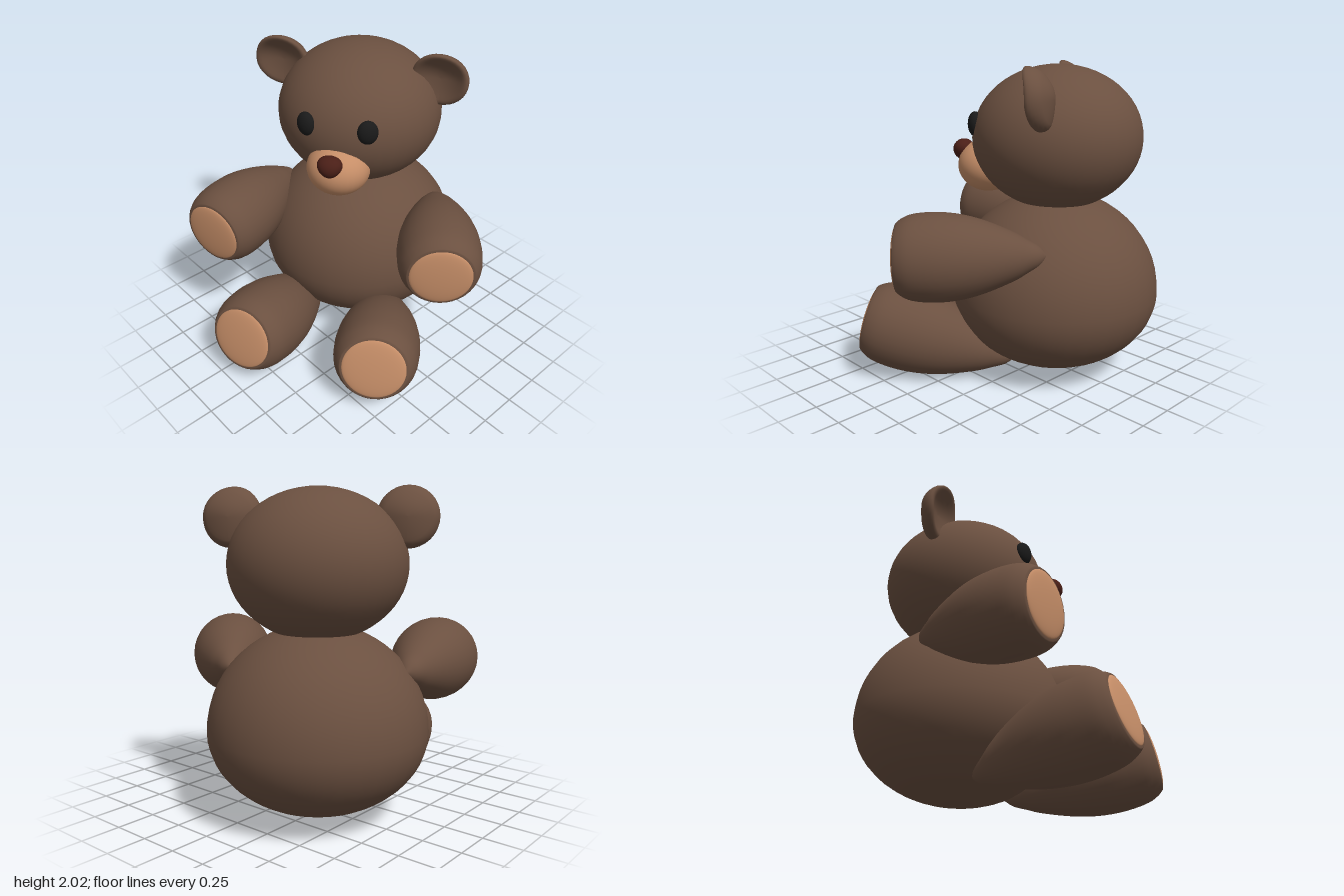
import * as THREE from 'three';

const mat = (color) => new THREE.MeshStandardMaterial({ color, roughness: 0.8 });

export function createModel() {
  const brown = mat(0x6b5040), peach = mat(0xc68e68), black = mat(0x1a1a1a), maroon = mat(0x4a1f17);
  const bear = new THREE.Group();
  bear.name = 'teddyBear';

  const add = (parent, name, geometry, material, x, y, z) => {
    const mesh = new THREE.Mesh(geometry, material);
    mesh.name = name;
    mesh.position.set(x, y, z);
    parent.add(mesh);
    return mesh;
  };
  const ellipsoid = (rx, ry, rz, w = 32, h = 24) => new THREE.SphereGeometry(1, w, h).scale(rx, ry, rz);

  // Body: round above, flatter where it sits
  const bodyProfile = [];
  for (let i = 0; i <= 28; i++) {
    const a = -Math.PI / 2 + (Math.PI * i) / 28;
    bodyProfile.push(new THREE.Vector2(Math.max(0, 0.68 * Math.cos(a)), Math.sin(a) * (a < 0 ? 0.515 : 0.65)));
  }
  add(bear, 'body', new THREE.LatheGeometry(bodyProfile, 36), brown, 0, 0.53, 0);

  // Head and face
  add(bear, 'head', ellipsoid(0.545, 0.46, 0.545, 36, 28), brown, 0, 1.535, 0);
  add(bear, 'muzzle', ellipsoid(0.205, 0.175, 0.2), peach, 0, 1.335, 0.46);
  const nose = ellipsoid(0.085, 0.07, 0.07);
  const np = nose.attributes.position;
  for (let i = 0; i < np.count; i++) np.setX(i, np.getX(i) * (0.92 + 2.5 * np.getY(i)));
  nose.computeVertexNormals();
  add(bear, 'nose', nose, maroon, 0, 1.43, 0.63);

  // Teardrop limb along +z from its root, with a flat padded end
  const limb = (name, root, end, maxRadius, side) => {
    const group = new THREE.Group();
    group.name = name;
    const from = new THREE.Vector3(...root), to = new THREE.Vector3(...end);
    from.x *= side;
    to.x *= side;
    const length = from.distanceTo(to);
    const outline = [[0, 0.02], [0.05, 0.22], [0.13, 0.38], [0.22, 0.55], [0.4, 0.8], [0.55, 0.94], [0.69, 1],
      [0.81, 0.995], [0.9, 0.95], [0.96, 0.86], [0.99, 0.78]]
      .map(([t, r]) => new THREE.Vector2(r * maxRadius, t * length));
    const points = [new THREE.Vector2(0, 0), ...new THREE.SplineCurve(outline).getPoints(32),
      new THREE.Vector2(0.7 * maxRadius, length * 0.992), new THREE.Vector2(0, length * 0.992)];
    add(group, name + 'Fur', new THREE.LatheGeometry(points, 32).rotateX(Math.PI / 2), brown, 0, 0, 0);
    add(group, name + 'Pad', ellipsoid(0.735 * maxRadius, 0.735 * maxRadius, 0.025), peach, 0, 0, length * 0.99);
    group.position.copy(from);
    group.lookAt(to);
    bear.add(group);
  };

  // Ear: a rounded disc cupped forward, its top curling over
  const earGeometry = () => {
    const pts = [new THREE.Vector2(0, -0.045)];
    for (let i = 1; i < 6; i++) pts.push(new THREE.Vector2((0.14 * i) / 6, -0.045));
    for (let i = 0; i <= 10; i++) {
      const a = -Math.PI / 2 + (Math.PI * i) / 10;
      pts.push(new THREE.Vector2(0.14 + 0.045 * Math.cos(a), 0.045 * Math.sin(a)));
    }
    for (let i = 5; i >= 0; i--) pts.push(new THREE.Vector2((0.14 * i) / 6, 0.045));
    const g = new THREE.LatheGeometry(pts, 32).rotateX(Math.PI / 2);
    const p = g.attributes.position;
    for (let i = 0; i < p.count; i++) {
      const x = p.getX(i), y = p.getY(i);
      p.setZ(i, p.getZ(i) - 0.04 + 2 * x * x + (y > 0 ? 3.4 : 0.8) * y * y);
    }
    g.computeVertexNormals();
    return g;
  };

  for (const side of [1, -1]) {
    const label = side > 0 ? 'left' : 'right';
    add(bear, label + 'Eye', ellipsoid(0.065, 0.078, 0.045), black, side * 0.198, 1.625, 0.49).rotation.y = side * 0.38;
    add(bear, label + 'Ear', earGeometry(), brown, side * 0.53, 1.815, 0);
    limb(label + 'Arm', [0.535, 0.9, -0.06], [0.765, 0.885, 0.81], 0.268, side);
    limb(label + 'Leg', [0.27, 0.1, 0.2], [0.45, 0.345, 1.16], 0.28, side);
  }

  // The seated figure is turned toward its right
  bear.rotation.y = -Math.PI / 3;
  bear.position.set(0.31, 0, -0.27);
  const model = new THREE.Group();
  model.name = 'model';
  model.add(bear);
  return model;
}
